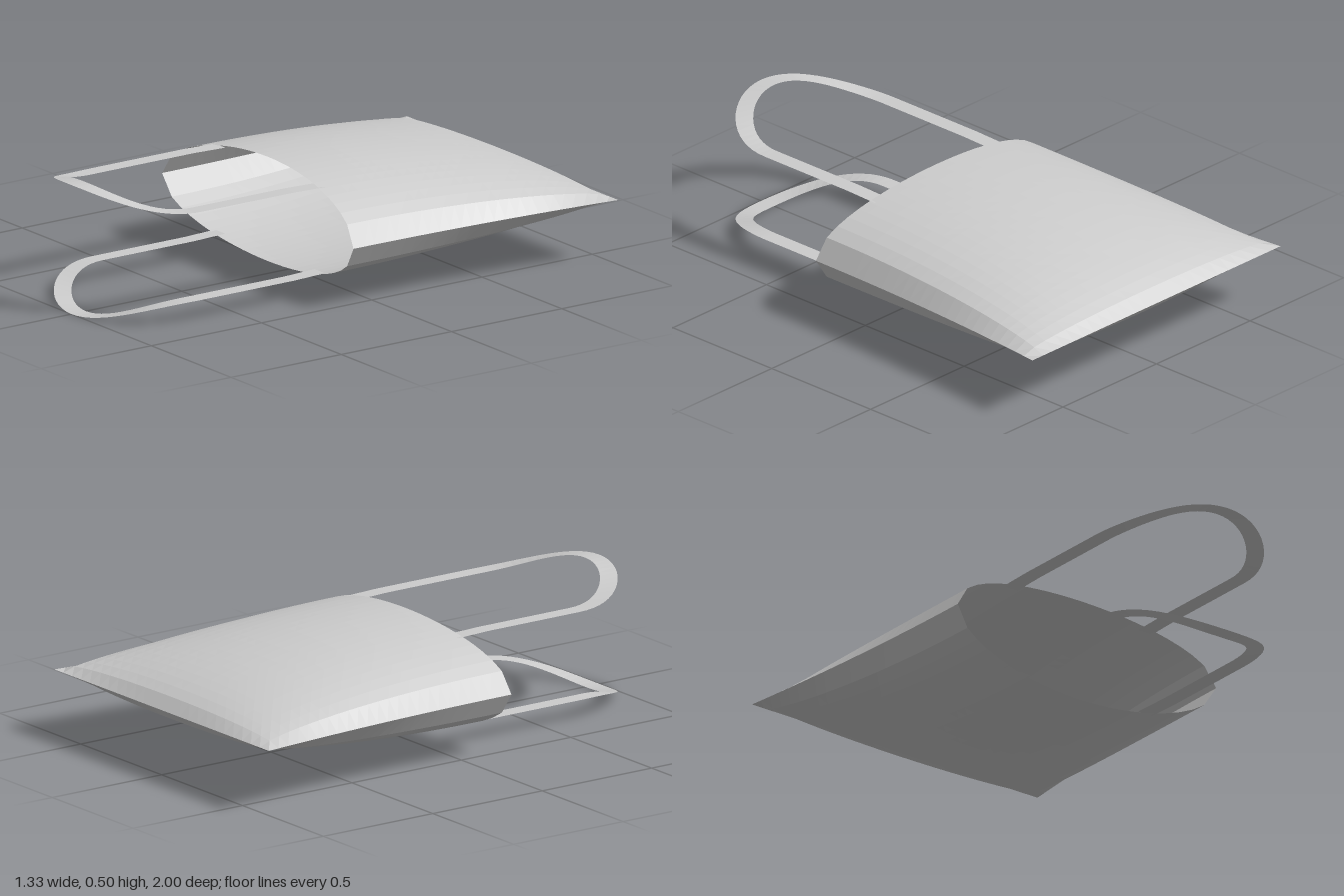
import * as THREE from 'three';

const MID = 0.2475; // height of the side seams

// Grid surface from a rule p(u, v) -> [x, y, z], with u and v in 0..1
function sheet(nu, nv, p) {
  const pos = [], idx = [];
  for (let j = 0; j <= nv; j++)
    for (let i = 0; i <= nu; i++) pos.push(...p(i / nu, j / nv));
  for (let j = 0; j < nv; j++)
    for (let i = 0; i < nu; i++) {
      const a = j * (nu + 1) + i, b = a + 1, c = a + nu + 1, d = c + 1;
      idx.push(a, b, c, b, d, c);
    }
  const g = new THREE.BufferGeometry();
  g.setAttribute('position', new THREE.Float32BufferAttribute(pos, 3));
  g.setIndex(idx);
  g.computeVertexNormals();
  return g;
}

// Bulging cloth panel: open at the front, pinched flat along the base
function panel(side) {
  return sheet(24, 24, (u, s) => {
    const a = side * (2 * u - 1);
    const height = 0.2 * Math.pow(Math.max(0, 1 - s * s), 0.62);
    const rim = 0.11 + 0.045 * a * a;
    return [
      a * (0.6 + 0.063 * s * s),
      MID + side * height * Math.sqrt(Math.max(0, 1 - a * a)),
      rim + (-1 - rim) * s,
    ];
  });
}

// Flat strap: two straight runs joined by a half circle that curves outward
function strap(side) {
  const arcZ = 0.655, path = [];
  const straight = [[0.1, 0.165], [0.24, 0.169], [0.45, 0.169]];
  for (const [z, h] of straight) path.push([1, 0, z, h]);
  const n = 32;
  for (let i = 0; i <= n; i++) {
    const t = Math.PI * i / n, s = Math.max(0, Math.sin(t));
    path.push([Math.cos(t), s, arcZ, 0.169 + 0.0785 * Math.pow(s, 2.3)]);
  }
  for (const [z, h] of [...straight].reverse()) path.push([-1, 0, z, h]);
  return sheet(1, path.length - 1, (u, v) => {
    const [c, s, z, h] = path[Math.round(v * (path.length - 1))];
    const r = side > 0 ? 0.28 + 0.065 * u : 0.345 - 0.065 * u;
    return [c * r, MID + side * h, z + s * r];
  });
}

export function createModel() {
  const cloth = new THREE.MeshStandardMaterial({ color: 0xcccccc, side: THREE.DoubleSide });
  cloth.name = 'greyCloth';
  cloth.flatShading = true;

  const bag = new THREE.Group();
  bag.name = 'toteBag';
  for (const [name, side] of [['upper', 1], ['lower', -1]]) {
    const body = new THREE.Mesh(panel(side), cloth);
    body.name = name + 'Panel';
    const handle = new THREE.Mesh(strap(side), cloth);
    handle.name = name + 'Handle';
    bag.add(body, handle);
  }
  return bag;
}
